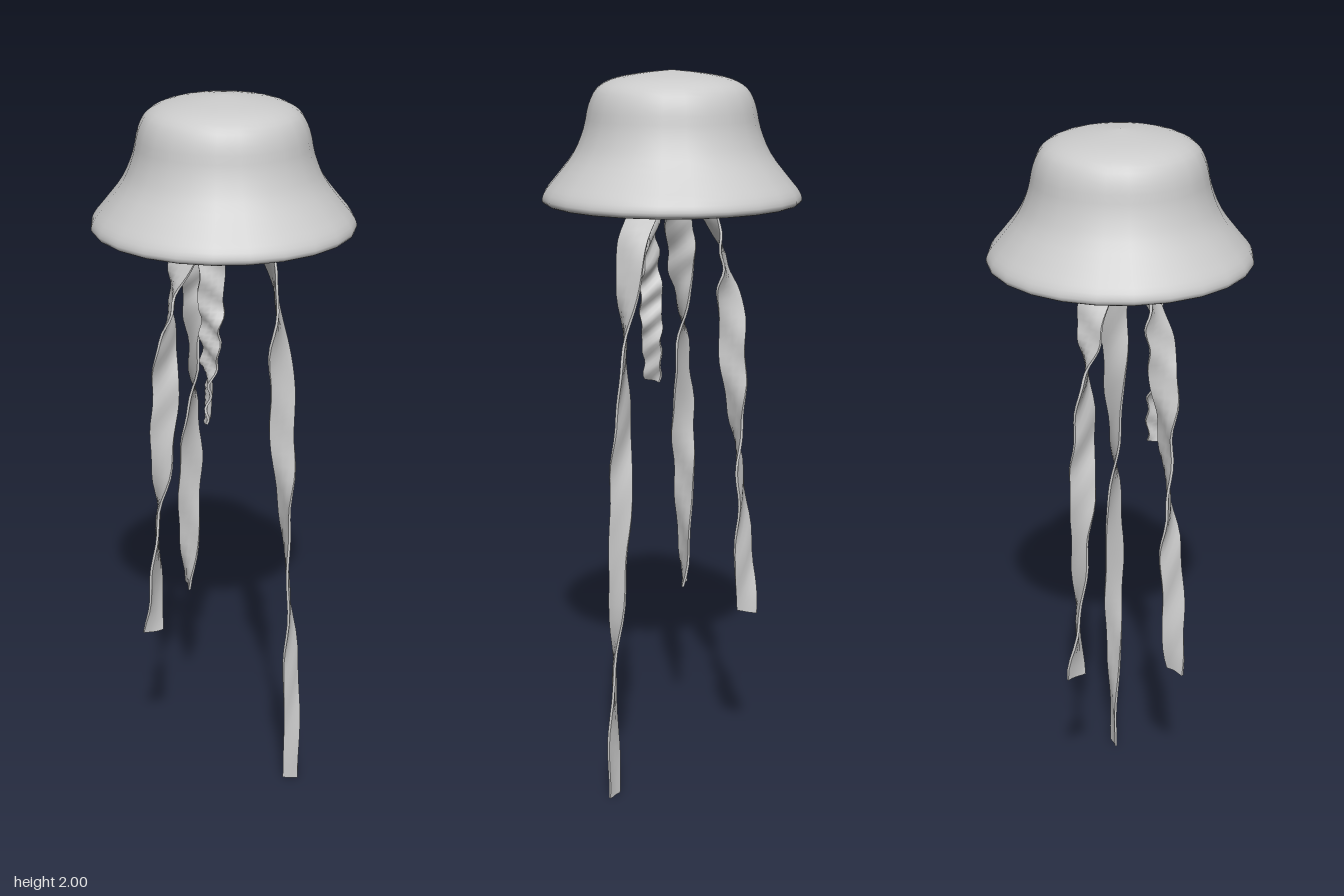
import * as THREE from 'three';

const material = new THREE.MeshStandardMaterial({ color: 0xcccccc, roughness: 0.8 });

// Smooth curve through a few [a, b, c] points
const curveOf = (points) => new THREE.CatmullRomCurve3(points.map((p) => new THREE.Vector3(...p)));

// Hollow bell: from the central knob, over the inner ceiling, round the rim and up the outside
function makeBell() {
  const profile = curveOf([
    [0, 1.71], [0.04, 1.725], [0.06, 1.77], [0.06, 1.85], [0.09, 1.905], [0.14, 1.905],
    [0.175, 1.87], [0.2, 1.81], [0.24, 1.74], [0.27, 1.69], [0.295, 1.664],
    [0.325, 1.66], [0.34, 1.67], [0.335, 1.692], [0.305, 1.73], [0.257, 1.792],
    [0.23, 1.855], [0.216, 1.915], [0.195, 1.954], [0.155, 1.977], [0.08, 1.992], [0, 2],
  ].map(([r, y]) => [r, y, 0]));
  const points = profile.getPoints(63).map((p) => new THREE.Vector2(Math.max(p.x, 0), p.y));
  points[0].x = points[points.length - 1].x = 0;
  const bell = new THREE.Mesh(new THREE.LatheGeometry(points, 24), material);
  bell.name = 'bell';
  return bell;
}

// Thin ribbon along a path; its width starts radial and turns by `twist` on the way down
function makeTentacle({ name, path, angle, twist, widths, ripple }) {
  const curve = curveOf(path);
  const geometry = new THREE.BoxGeometry(1, 1, 1, 4, 48, 1);
  const pos = geometry.attributes.position;
  const p = new THREE.Vector3();
  for (let i = 0; i < pos.count; i++) {
    const across = pos.getX(i);
    const t = 0.5 - pos.getY(i);
    curve.getPoint(t, p);
    const a = angle + twist * t + 0.15 * Math.sin(t * 23 + angle);
    const width = THREE.MathUtils.lerp(widths[0], widths[1], t) * (1 + 0.09 * Math.sin(t * 41 + angle + across * 3));
    const depth = -pos.getZ(i) * 0.007 + ripple * Math.sin(t * 50 + across * 4 + angle);
    const u = across * width;
    pos.setXYZ(i,
      p.x + Math.cos(a) * u + Math.sin(a) * depth,
      Math.max(p.y, 0),
      p.z + Math.sin(a) * u - Math.cos(a) * depth);
  }
  geometry.computeVertexNormals();
  const mesh = new THREE.Mesh(geometry, ribbonMaterial);
  mesh.name = name;
  return mesh;
}

const ribbonMaterial = material.clone();
ribbonMaterial.side = THREE.DoubleSide;

export function createModel() {
  const group = new THREE.Group();
  group.name = 'jellyfish';
  group.add(makeBell());

  // Long tentacle on the left
  group.add(makeTentacle({
    name: 'longTentacle', angle: 0, twist: Math.PI * 2, widths: [0.085, 0.043], ripple: 0.003,
    path: [[0.06, 1.73, 0], [0.133, 1.55, 0], [0.16, 1.3, 0], [0.17, 1.05, 0], [0.185, 0.75, 0],
      [0.205, 0.4, 0], [0.212, 0, 0]],
  }));

  // Two medium tentacles on the right, front and back
  for (const side of [1, -1]) {
    group.add(makeTentacle({
      name: side > 0 ? 'frontTentacle' : 'backTentacle',
      angle: Math.PI - side * Math.PI / 4, twist: Math.PI * 2, widths: [0.085, 0.058], ripple: 0.004,
      path: [[-0.04, 1.73, 0.035], [-0.095, 1.56, 0.08], [-0.118, 1.4, 0.1], [-0.13, 1.15, 0.11],
        [-0.147, 0.85, 0.125], [-0.16, 0.51, 0.138]].map(([x, y, z]) => [x, y, z * side]),
    }));
  }

  // Short crumpled tentacle at the front
  group.add(makeTentacle({
    name: 'shortTentacle', angle: Math.PI / 2, twist: Math.PI, widths: [0.075, 0.052], ripple: 0.007,
    path: [[0, 1.73, 0.045], [-0.002, 1.62, 0.08], [-0.002, 1.45, 0.092], [-0.006, 1.3, 0.095],
      [-0.012, 1.16, 0.097]],
  }));
  return group;
}
